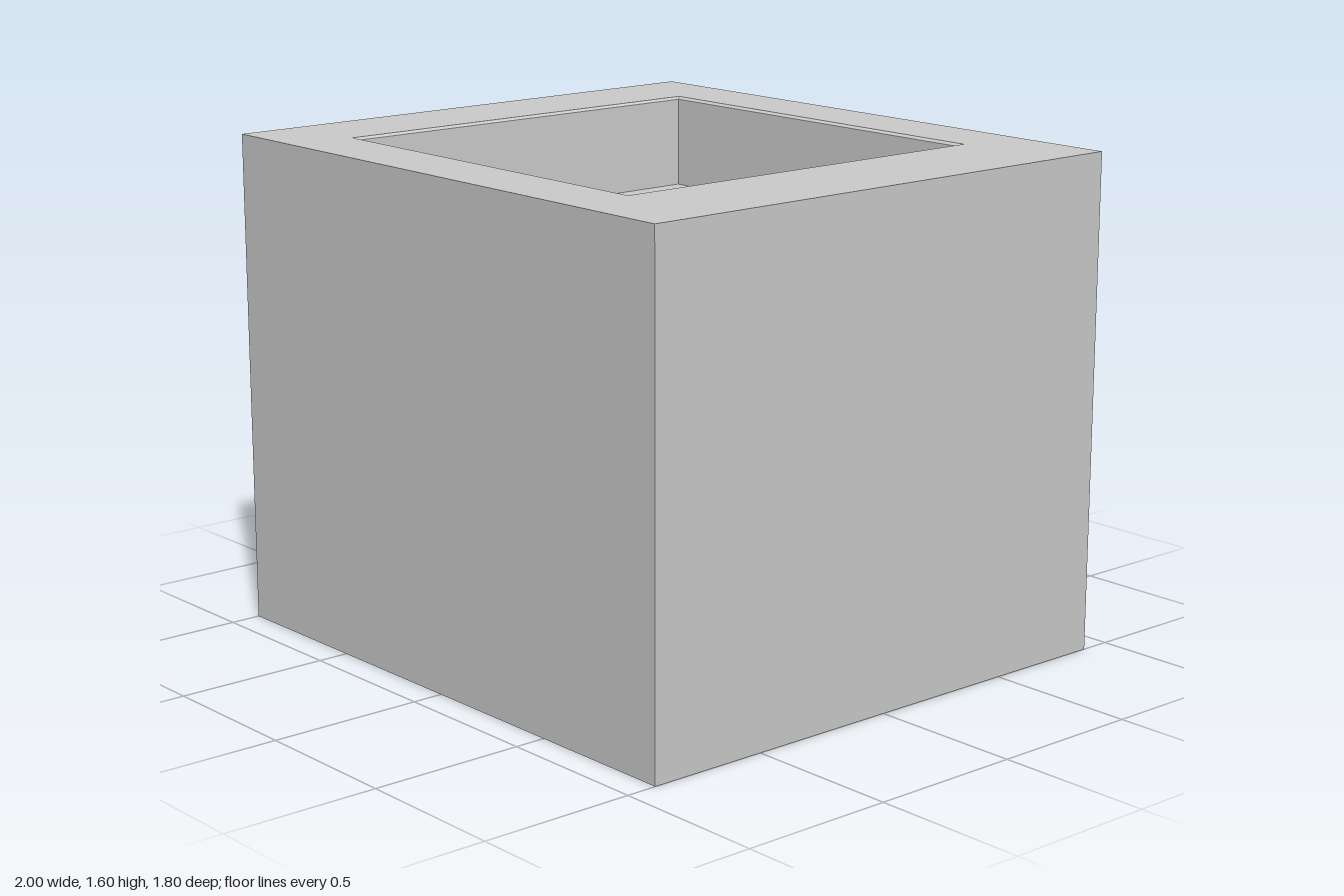
import * as THREE from 'three';
import { toCreasedNormals } from 'three/addons/utils/BufferGeometryUtils.js';

const SIDES = 64; // a multiple of 8, so every square ring has true corners

// Rectangular (or round) ring of points, running from +x towards +z
function ring(y, cx, cz, hx, hz, round = false) {
  return Array.from({ length: SIDES }, (_, i) => {
    const a = (i / SIDES) * Math.PI * 2;
    const c = Math.cos(a), s = Math.sin(a);
    const k = round ? 1 : 1 / Math.max(Math.abs(c), Math.abs(s));
    return new THREE.Vector3(cx + c * k * hx, y, cz + s * k * hz);
  });
}

// Skin between successive rings, leaving out collapsed triangles
function loft(rings) {
  const pos = [];
  const tri = (...p) => {
    if (new THREE.Triangle(...p).getArea() > 1e-9) p.forEach((v) => pos.push(v.x, v.y, v.z));
  };
  for (let r = 0; r < rings.length - 1; r++) {
    for (let i = 0; i < SIDES; i++) {
      const j = (i + 1) % SIDES;
      const a = rings[r][i], b = rings[r][j], c = rings[r + 1][i], d = rings[r + 1][j];
      tri(a, c, b);
      tri(c, d, b);
    }
  }
  const geo = new THREE.BufferGeometry();
  geo.setAttribute('position', new THREE.Float32BufferAttribute(pos, 3));
  return toCreasedNormals(geo, 0.4);
}

export function createModel() {
  const group = new THREE.Group();
  group.name = 'sinkBlock';
  const material = new THREE.MeshStandardMaterial({ color: 0xcccccc });
  const bx = -0.04; // the basin sits a little off centre

  const add = (name, rings) => {
    const mesh = new THREE.Mesh(loft(rings), material);
    mesh.name = name;
    group.add(mesh);
  };

  // Solid block: underside, four walls and the flat top around the basin
  add('block', [
    ring(0, 0, 0, 0, 0),
    ring(0, 0, 0, 1, 0.9),
    ring(1.6, 0, 0, 1, 0.9),
    ring(1.6, bx, 0, 0.67, 0.68),
  ]);

  // Basin: eased rim, steep walls and a floor falling gently to the drain
  add('basin', [
    ring(1.6, bx, 0, 0.67, 0.68),
    ring(1.592, bx, 0, 0.66, 0.67),
    ring(1.3, bx, 0, 0.652, 0.662),
    ring(1.28, bx, 0, 0.105, 0.105, true),
  ]);

  // Round drain recess
  add('drain', [
    ring(1.28, bx, 0, 0.105, 0.105, true),
    ring(1.23, bx, 0, 0.105, 0.105, true),
    ring(1.23, bx, 0, 0, 0),
  ]);

  return group;
}
